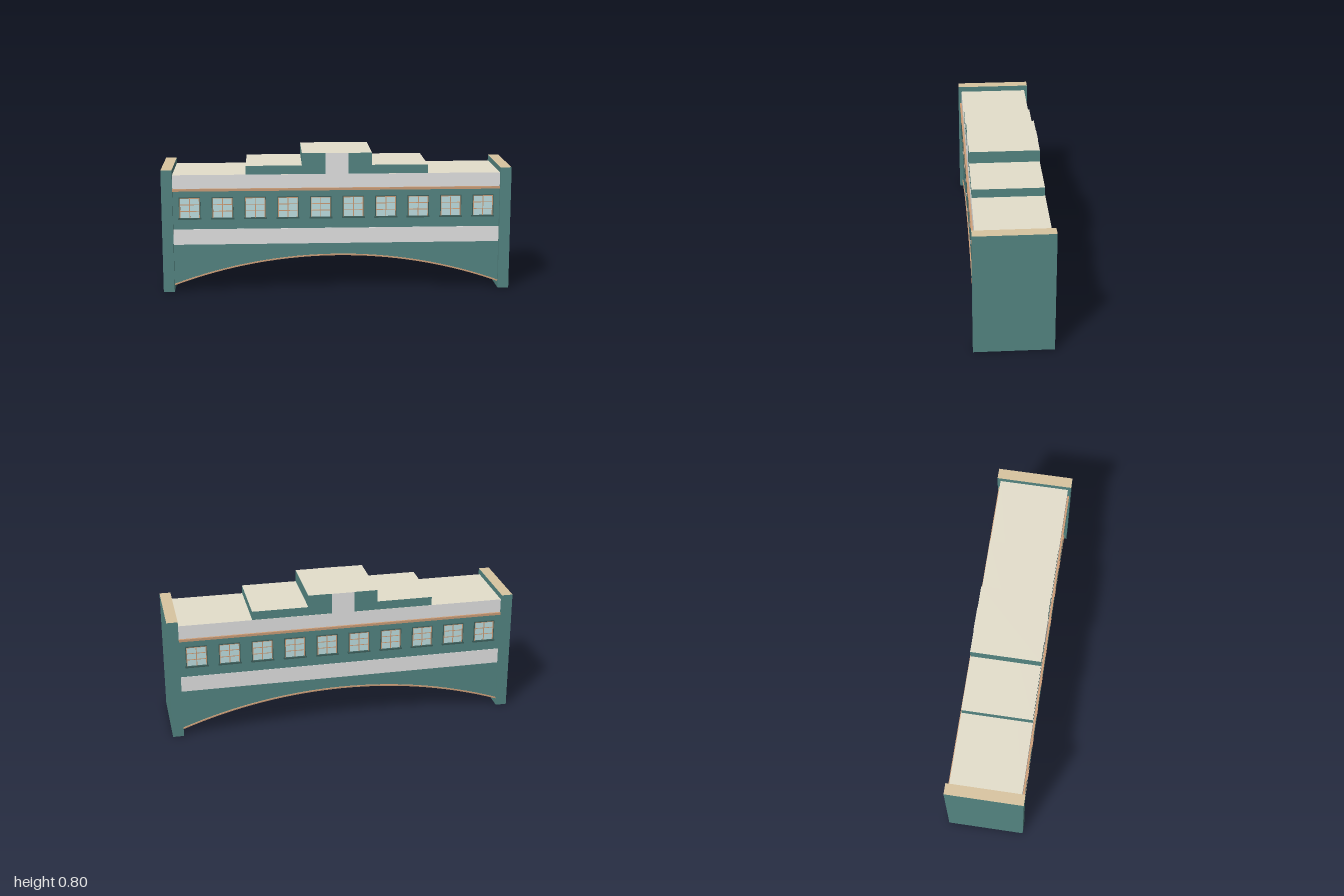
import * as THREE from 'three';

const mat = (name, color) => {
  const m = new THREE.MeshStandardMaterial({ color });
  m.name = name;
  return m;
};

export function createModel() {
  const teal = mat('teal wall', 0x558784);
  const darkTeal = mat('dark teal frame', 0x3f625f);
  const grey = mat('pale grey band', 0xe6e6e6);
  const roof = mat('beige roof', 0xe5dfcc);
  const cap = mat('tan cap', 0xd9c5a0);
  const copper = mat('copper trim', 0xcfa07a);
  const glass = mat('window glass', 0xc2e3e6);

  const model = new THREE.Group();
  model.name = 'coveredBridge';

  // Box given by its limits; top and front/back faces may have their own colours
  const box = (name, parent, x0, x1, y0, y1, z0, z1, side, top = side, face = side) => {
    const mesh = new THREE.Mesh(
      new THREE.BoxGeometry(x1 - x0, y1 - y0, z1 - z0),
      top === side && face === side ? side : [side, side, top, side, face, face]);
    mesh.position.set((x0 + x1) / 2, (y0 + y1) / 2, (z0 + z1) / 2);
    mesh.name = name;
    parent.add(mesh);
  };

  // Circular arch of the underside
  const HALF = 0.937, DEPTH = 0.2, CROWN = 0.203, RISE = 0.167;
  const radius = (HALF * HALF + RISE * RISE) / (2 * RISE);
  const archY = x => CROWN - radius + Math.sqrt(radius * radius - x * x);
  const arch = [];
  for (let i = 0; i <= 32; i++) {
    const x = -HALF + (2 * HALF * i) / 32;
    arch.push(new THREE.Vector2(x, archY(x)));
  }
  const extrude = (name, parent, points, z0, z1, material) => {
    const geo = new THREE.ExtrudeGeometry(new THREE.Shape(points), { depth: z1 - z0, bevelEnabled: false });
    geo.translate(0, 0, z0);
    const mesh = new THREE.Mesh(geo, material);
    mesh.name = name;
    parent.add(mesh);
  };

  // Main span, upper band and stepped roof
  extrude('archedSpan', model,
    [...arch, new THREE.Vector2(HALF, 0.6), new THREE.Vector2(-HALF, 0.6)], -DEPTH, DEPTH, teal);
  box('upperBand', model, -HALF, HALF, 0.6, 0.68, -DEPTH - 0.002, DEPTH + 0.002, grey, roof);
  box('lowerRoofStep', model, -0.52, 0.52, 0.68, 0.73, -DEPTH, DEPTH, teal, roof);
  box('upperRoofStep', model, -0.2, 0.2, 0.73, 0.8, -DEPTH, DEPTH, teal, roof);

  // End pylons
  for (const s of [-1, 1]) {
    box('endPylon', model, s > 0 ? HALF : -1, s > 0 ? 1 : -HALF, 0, 0.712, -0.22, 0.22, teal, cap);
  }

  // One decorated side, facing +z
  const buildFacade = name => {
    const facade = new THREE.Group();
    facade.name = name;
    const rim = [...arch, ...arch.map(p => new THREE.Vector2(p.x, p.y + 0.008)).reverse()];
    extrude('archRim', facade, rim, DEPTH, DEPTH + 0.006, copper);
    box('lowerBand', facade, -HALF, HALF, 0.275, 0.365, DEPTH, DEPTH + 0.002, grey);
    box('centrePanel', facade, -0.065, 0.065, 0.68, 0.8, DEPTH, DEPTH + 0.002, grey, roof);
    box('cornice', facade, -HALF, HALF, 0.587, 0.601, DEPTH, DEPTH + 0.013, copper);

    // Row of ten windows
    for (let i = 0; i < 10; i++) {
      const win = new THREE.Group();
      win.name = 'window';
      win.position.set((i - 4.5) * 0.187, 0.49, DEPTH);
      box('glass', win, -0.056, 0.056, -0.058, 0.058, 0, 0.002, glass);
      for (const s of [-1, 1]) {
        box('outerJamb', win, s * 0.059 - 0.002, s * 0.059 + 0.002, -0.06, 0.062, 0, 0.009, darkTeal);
        box('innerJamb', win, s * 0.055 - 0.002, s * 0.055 + 0.002, -0.058, 0.054, 0, 0.008, copper);
      }
      box('lintel', win, -0.057, 0.057, 0.058, 0.062, 0, 0.009, darkTeal);
      box('innerLintel', win, -0.057, 0.057, 0.054, 0.058, 0, 0.008, copper);
      box('sill', win, -0.066, 0.066, -0.067, -0.058, 0, 0.012, darkTeal);
      box('mullion', win, -0.0025, 0.0025, -0.058, 0.054, 0, 0.005, copper);
      for (const y of [-0.02, 0.018]) {
        box('glazingBar', win, -0.053, 0.053, y - 0.002, y + 0.002, 0, 0.004, copper);
      }
      facade.add(win);
    }
    return facade;
  };
  const back = buildFacade('backFacade');
  back.rotation.y = Math.PI;
  model.add(buildFacade('frontFacade'), back);

  return model;
}
